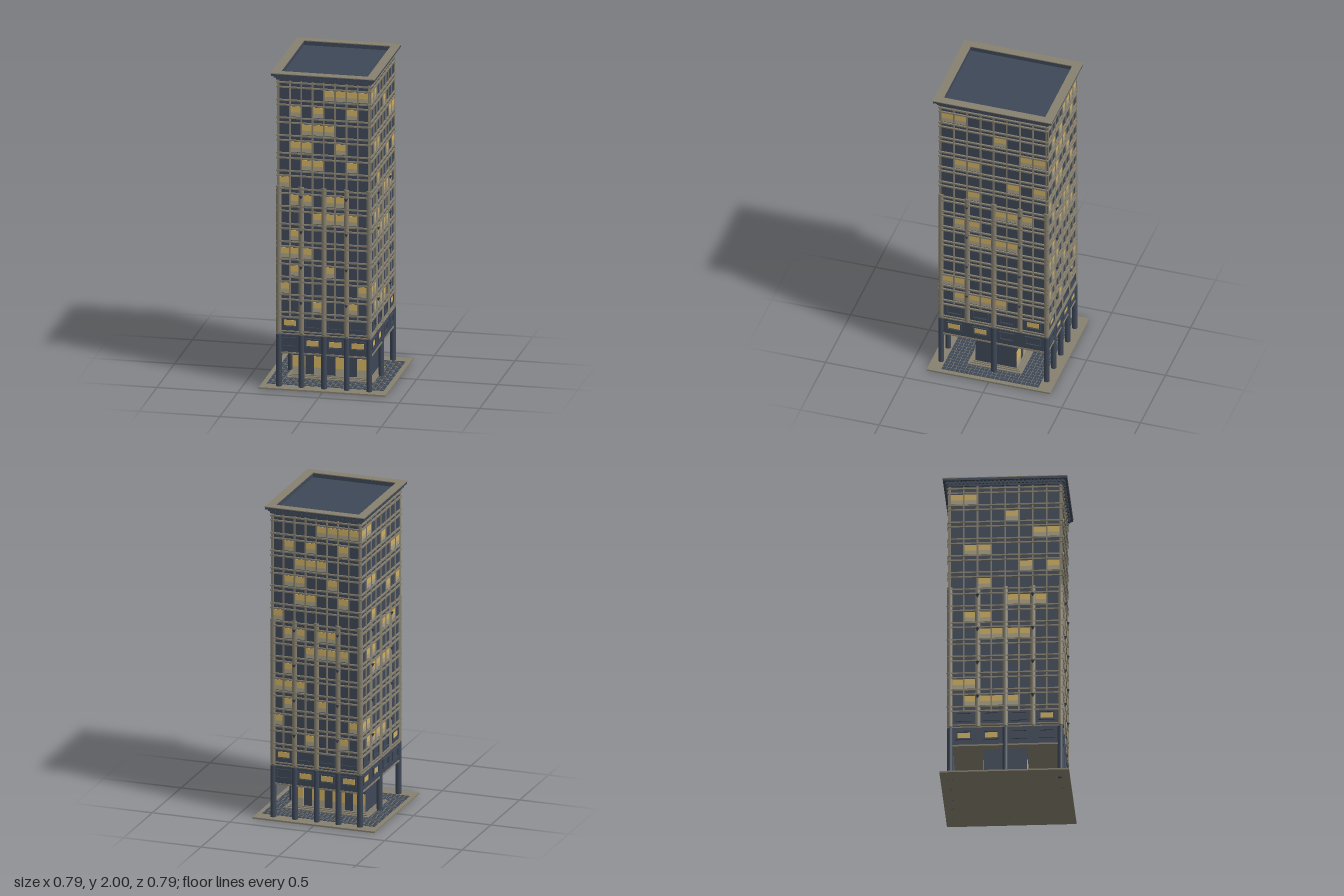
import * as THREE from 'three';

const mat = (name, color) => {
  const m = new THREE.MeshStandardMaterial({ color });
  m.name = name;
  return m;
};

// Lit windows by floor from the top down, numbered from the left of each facade
const LIT_FRONT = [[4, 5, 6, 7], [1, 3, 6], [2, 3, 4], [1, 2, 5], [2, 3, 6], [0], [1, 2, 4, 5],
  [3, 4, 5, 6], [1], [0, 1, 2], [1, 4], [0, 7], [3, 6]];
const LIT_SIDE = [[0, 1], [4], [6, 7], [1, 2], [5, 7], [2], [4, 5, 6], [1, 2], [2, 3, 4, 5], [], [],
  [0, 1], [1, 2, 3, 4]];

const HX = 0.28, HZ = 0.335;          // column grid half sizes
const WALL = 0.006;                   // wall face beyond the column grid
const FLOOR = 0.112, TOP_FLOOR = 1.867;

export function createModel() {
  const slate = mat('slate', 0x3e4857);
  const stone = mat('stone', 0x87806f);
  const light = mat('window light', 0xd0b062);
  const blind = mat('window blind', 0xa8a188);

  const model = new THREE.Group();
  model.name = 'tower';

  const box = (parent, name, material, w, h, d, x, y, z) => {
    const m = new THREE.Mesh(new THREE.BoxGeometry(w, h, d), material);
    m.name = name;
    m.position.set(x, y, z);
    parent.add(m);
    return m;
  };
  const cylinder = (parent, name, material, rTop, rBottom, h, x, y, z, sides = 12) => {
    const m = new THREE.Mesh(new THREE.CylinderGeometry(rTop, rBottom, h, sides), material);
    m.name = name;
    m.position.set(x, y, z);
    parent.add(m);
    return m;
  };
  // Flat window with a bright upper part and a drawn blind below
  const litWindow = (parent, w, h, x, y, z) => {
    const up = h * 0.58;
    box(parent, 'windowLight', light, w, up, 0.004, x, y + (h - up) / 2, z);
    box(parent, 'windowBlind', blind, w, h - up, 0.004, x, y - up / 2, z);
  };

  // Plaza slab with tiled paving
  box(model, 'plaza', stone, 0.786, 0.01, 0.786, 0, 0.005, 0);
  box(model, 'paving', slate, 0.726, 0.002, 0.616, 0, 0.0105, 0);
  const joints = new THREE.Group();
  joints.name = 'pavingJoints';
  model.add(joints);
  for (let i = -12; i <= 12; i++) box(joints, 'joint', stone, 0.002, 0.001, 0.616, i * 0.028, 0.0118, 0);
  for (let i = -10; i <= 10; i++) box(joints, 'joint', stone, 0.726, 0.001, 0.002, 0, 0.0118, i * 0.028);

  // Steps and lobby
  [[0.54, 0.344, 0.018], [0.515, 0.315, 0.024], [0.495, 0.288, 0.03]].forEach(([w, d, top]) =>
    box(model, 'step', stone, w, top - 0.008, d, 0, (top + 0.008) / 2, 0));
  box(model, 'lobby', slate, 0.48, 0.2, 0.26, 0, 0.125, 0);

  // Main shaft with its stone soffit
  box(model, 'shaft', slate, 2 * (HX + WALL), 1.74, 2 * (HZ + WALL), 0, 1.095, 0);
  box(model, 'soffit', stone, 2 * (HX + 0.01), 0.01, 2 * (HZ + 0.01), 0, 0.225, 0);

  // Round columns below, stone pilasters above
  const columns = new THREE.Group();
  columns.name = 'columns';
  model.add(columns);
  for (let i = 0; i < 5; i++) {
    for (let j = 0; j < 5; j++) {
      const edgeX = i % 4 === 0, edgeZ = j % 4 === 0;
      if (!edgeX && !edgeZ) continue;
      const x = HX * (i / 2 - 1), z = HZ * (j / 2 - 1);
      if (edgeZ || j === 2) cylinder(columns, 'column', slate, 0.018, 0.018, 0.34, x, 0.17, z, 16);
      cylinder(columns, 'pilaster', stone, 0.018, 0.018, 0.93, x, 0.815, z);
      cylinder(columns, 'pilasterFoot', stone, 0.018, 0.01, 0.012, x, 0.344, z);
    }
  }

  // One facade, built facing +z with its centre at x = 0
  const facade = (name, half, depth, lit, upperBays, lowerBays) => {
    const g = new THREE.Group();
    g.name = name;
    const face = depth + WALL, pitch = half / 4, bay = half / 2;
    const full = 2 * half + 0.026;

    // Vertical mullions
    for (let i = 0; i <= 8; i++)
      box(g, 'mullion', stone, 0.01, 1.51, 0.008, -half + i * pitch, 1.2, face + 0.002);

    // Floor bands and lit windows
    lit.forEach((cells, f) => {
      const y = TOP_FLOOR - f * FLOOR;
      for (const s of [-1, 1])
        box(g, 'floorBand', stone, full, 0.009, 0.014, 0, y + s * 0.041, face + 0.003);
      for (const c of cells)
        litWindow(g, pitch - 0.01, 0.064, -half + (c + 0.5) * pitch, y, face + 0.001);
    });
    box(g, 'floorBand', stone, full, 0.009, 0.014, 0, 1.938, face + 0.003);
    box(g, 'floorBand', stone, full, 0.009, 0.014, 0, 0.452, face + 0.003);
    for (const y of [0.345, 0.362]) box(g, 'baseBand', stone, full, 0.007, 0.01, 0, y, face + 0.002);

    // Wide framed windows of the two lowest storeys
    [[0.415, upperBays], [0.292, lowerBays]].forEach(([y, bays]) => {
      for (let b = 0; b < 4; b++) {
        const x = -half + (b + 0.5) * bay;
        for (const s of [-1, 1]) {
          box(g, 'windowFrame', slate, 0.1, 0.008, 0.01, x, y + s * 0.026, face + 0.003);
          box(g, 'windowFrame', slate, 0.008, 0.052, 0.01, x + s * 0.046, y, face + 0.003);
        }
        if (bays.includes(b)) box(g, 'wideWindow', light, 0.076, 0.034, 0.004, x, y, face + 0.001);
      }
    });

    // Small lamps on the inner pilasters
    for (const s of [-1, 1])
      for (let k = 0; k < 4; k++)
        cylinder(g, 'lamp', slate, 0.012, 0.002, 0.02, s * bay, 1.217 - k * 0.224, depth + 0.018, 8);

    // Dentils under the cornice
    const n = Math.round((2 * half + 0.04) / 0.024);
    for (let i = 0; i < n; i++)
      box(g, 'dentil', slate, 0.012, 0.018, 0.03, (i + 0.5 - n / 2) * 0.024, 1.974, depth + 0.013);
    model.add(g);
    return g;
  };

  // Opposite facades match, turned by half a circle
  for (let k = 0; k < 2; k++) {
    const turn = k * Math.PI;
    const main = facade(k ? 'backFacade' : 'frontFacade', HX, HZ, LIT_FRONT, [0], [1, 2, 3]);
    for (let b = 0; b < 4; b++) litWindow(main, 0.08, 0.122, (b - 1.5) * 0.133, 0.085, 0.131);
    main.rotation.y = turn;
    facade(k ? 'rightFacade' : 'leftFacade', HZ, HX, LIT_SIDE, [3], [0, 1]).rotation.y = turn + Math.PI / 2;
  }

  // Hollow cornice rings around a sunken roof
  const ring = (name, material, w, d, y, h) => {
    const rect = (P, a, b) => {
      const p = new P();
      p.moveTo(-a, -b);
      p.lineTo(a, -b);
      p.lineTo(a, b);
      p.lineTo(-a, b);
      p.closePath();
      return p;
    };
    const shape = rect(THREE.Shape, w, d);
    shape.holes.push(rect(THREE.Path, 0.268, 0.322));
    const geo = new THREE.ExtrudeGeometry(shape, { depth: h, bevelEnabled: false });
    geo.rotateX(-Math.PI / 2);
    const m = new THREE.Mesh(geo, material);
    m.name = name;
    m.position.y = y;
    model.add(m);
  };
  ring('corniceBase', slate, 0.296, 0.351, 1.953, 0.03);
  ring('cornice', slate, 0.32, 0.376, 1.982, 0.013);
  ring('parapetCap', stone, 0.322, 0.378, 1.995, 0.005);
  box(model, 'roof', slate, 0.54, 0.01, 0.648, 0, 1.965, 0);

  return model;
}
